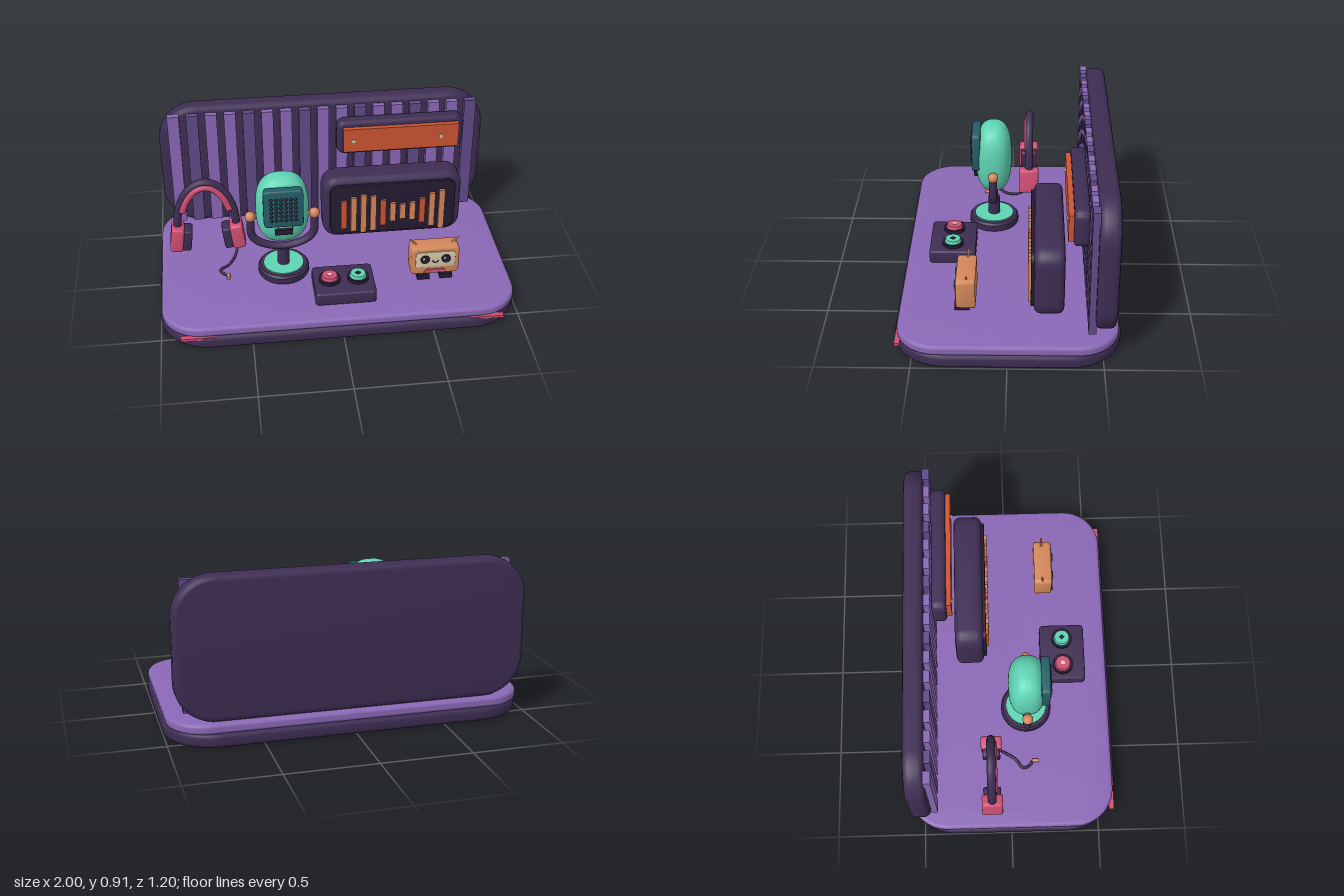
import * as THREE from 'three';
import { toCreasedNormals } from 'three/addons/utils/BufferGeometryUtils.js';

const mat = (name, color) => {
  const m = new THREE.MeshStandardMaterial({ color });
  m.name = name;
  return m;
};

export function createModel() {
  const M = {
    plum: mat('dark plum', 0x3e2d53),
    purple: mat('light purple', 0x8a68b6),
    violet: mat('mid violet', 0x604b88),
    mint: mat('mint', 0x5fd3b3),
    teal: mat('deep teal', 0x245e68),
    orange: mat('soft orange', 0xd4875a),
    rust: mat('red orange', 0xcc5533),
    pink: mat('pink', 0xd14f74),
    black: mat('near black', 0x241b32),
    cream: mat('cream', 0xd9cba8),
  };
  const model = new THREE.Group();
  model.name = 'podcastDesk';
  const group = (name) => {
    const g = new THREE.Group();
    g.name = name;
    model.add(g);
    return g;
  };
  const add = (parent, name, geo, material, x = 0, y = 0, z = 0) => {
    const m = new THREE.Mesh(geo, material);
    m.name = name;
    m.position.set(x, y, z);
    parent.add(m);
    return m;
  };
  const box = (w, h, d) => new THREE.BoxGeometry(w, h, d);
  const disc = (r, h, top = r) => new THREE.CylinderGeometry(top, r, h, 32);
  const tube = (pts, r, n = 40) => new THREE.TubeGeometry(
    new THREE.CatmullRomCurve3(pts.map((p) => new THREE.Vector3(...p))), n, r, 10);

  // Rounded rectangle w x h extruded to depth d, with soft edges, centred
  const slab = (w, h, d, r, b) => {
    const x = w / 2 - b, y = h / 2 - b, q = Math.max(r - b, 0.002);
    const s = new THREE.Shape();
    s.moveTo(-x + q, -y);
    s.absarc(x - q, -y + q, q, -Math.PI / 2, 0);
    s.absarc(x - q, y - q, q, 0, Math.PI / 2);
    s.absarc(-x + q, y - q, q, Math.PI / 2, Math.PI);
    s.absarc(-x + q, -y + q, q, Math.PI, Math.PI * 1.5);
    const g = new THREE.ExtrudeGeometry(s, {
      depth: d - 2 * b, bevelThickness: b, bevelSize: b, bevelSegments: 3, curveSegments: 8,
    });
    g.translate(0, 0, -(d - 2 * b) / 2);
    return toCreasedNormals(g, 0.6);
  };
  const flat = (w, d, h, r, b) => slab(w, d, h, r, b).rotateX(-Math.PI / 2);

  // Desk
  const desk = group('desk');
  add(desk, 'deskBase', flat(2, 1.2, 0.075, 0.28, 0.02), M.plum, 0, 0.0375, 0);
  add(desk, 'deskTop', flat(1.98, 1.17, 0.055, 0.22, 0.018), M.purple, 0, 0.098, 0);
  for (const s of [-1, 1]) add(desk, 'deskAccent', box(0.195, 0.016, 0.03), M.pink, s * 0.795, 0.066, 0.577);

  // Back wall with upright slats
  const wall = group('backWall');
  add(wall, 'wallPanel', slab(1.92, 0.785, 0.11, 0.22, 0.03), M.plum, 0, 0.5175, -0.507);
  for (let i = 0; i < 17; i++) {
    add(wall, 'slat', box(0.068, 0.72, 0.04), i % 3 === 1 ? M.violet : M.purple, -0.87 + i * 0.10875, 0.515, -0.438);
  }

  // Sign
  const sign = group('sign');
  add(sign, 'signFrame', slab(0.745, 0.215, 0.08, 0.05, 0.02), M.plum, 0.4425, 0.7175, -0.373);
  add(sign, 'signPlate', box(0.68, 0.15, 0.03), M.rust, 0.445, 0.715, -0.32);
  for (const s of [-1, 1]) add(sign, 'signScrew', disc(0.011, 0.008).rotateX(Math.PI / 2), M.cream, 0.422 + s * 0.258, 0.715, -0.302);

  // Level display with a row of bars
  const display = group('levelDisplay');
  add(display, 'displayBody', slab(0.82, 0.405, 0.16, 0.09, 0.035), M.plum, 0.375, 0.3575, -0.217);
  add(display, 'displayScreen', slab(0.74, 0.33, 0.02, 0.05, 0.003), M.black, 0.375, 0.3575, -0.13);
  [0.19, 0.235, 0.26, 0.24, 0.175, 0.125, 0.1, 0.12, 0.17, 0.23, 0.265].forEach((h, i) =>
    add(display, 'levelBar', box(0.034, h, 0.015), i % 4 ? M.orange : M.rust, 0.085 + i * 0.058, 0.33, -0.113));

  // Headphones
  const phones = group('headphones');
  const arch = (rx, ry, y0, z, a) => Array.from({ length: 17 }, (_, i) => {
    const t = a + (Math.PI - 2 * a) * i / 16;
    return [-0.715 + rx * Math.cos(t), y0 + ry * Math.sin(t), z];
  });
  add(phones, 'headband', tube(arch(0.17, 0.3, 0.32, -0.108, 0), 0.024), M.plum);
  add(phones, 'headbandCushion', tube(arch(0.15, 0.275, 0.32, -0.097, 0.45), 0.022), M.pink);
  for (const s of [-1, 1]) {
    const cup = new THREE.Group();
    cup.name = 'earCup';
    cup.position.set(-0.715 + s * 0.17, 0.264, -0.107);
    cup.rotation.z = s * 0.13;
    phones.add(cup);
    add(cup, 'earShell', slab(0.075, 0.155, 0.118, 0.018, 0.012), M.pink, s * 0.005);
    add(cup, 'earPad', slab(0.06, 0.135, 0.1, 0.015, 0.01), M.plum, -s * 0.05, -0.003);
  }
  add(phones, 'cable', tube([[-0.545, 0.2, -0.09], [-0.555, 0.16, -0.05], [-0.6, 0.137, 0.03],
    [-0.652, 0.135, 0.075], [-0.635, 0.135, 0.115], [-0.612, 0.137, 0.13]], 0.008), M.plum);
  add(phones, 'plug', disc(0.01, 0.04).rotateX(Math.PI / 2), M.orange, -0.61, 0.138, 0.145);

  // Microphone
  const mic = group('microphone');
  mic.position.set(-0.29, 0, 0.1);
  add(mic, 'micFoot', toCreasedNormals(new THREE.LatheGeometry(
    [[0, 0.125], [0.14, 0.125], [0.145, 0.135], [0.145, 0.165], [0.135, 0.178], [0, 0.178]]
      .map((p) => new THREE.Vector2(...p)), 40), 0.5), M.plum);
  add(mic, 'footInlay', disc(0.115, 0.008), M.mint, 0, 0.18, 0);
  add(mic, 'stem', disc(0.034, 0.11), M.plum, 0, 0.235, 0);
  const yoke = [[-0.18, 0.51, 0], [-0.18, 0.46, 0]];
  for (let i = 0; i <= 12; i++) {
    const t = Math.PI * (1 + i / 12);
    yoke.push([0.18 * Math.cos(t), 0.41 + 0.112 * Math.sin(t), 0]);
  }
  yoke.push([0.18, 0.46, 0], [0.18, 0.51, 0]);
  add(mic, 'yoke', tube(yoke, 0.023, 60), M.plum);
  for (const s of [-1, 1]) {
    add(mic, 'pivotKnob', new THREE.SphereGeometry(0.03, 20, 14), M.orange, s * 0.18, 0.51, 0);
    add(mic, 'pivotPin', disc(0.014, 0.06).rotateZ(Math.PI / 2), M.orange, s * 0.15, 0.51, 0);
  }
  // Head: a sphere squared off into a soft capsule
  const head = new THREE.SphereGeometry(1, 48, 32), p = head.attributes.position, n = 2.6;
  for (let i = 0; i < p.count; i++) {
    const v = new THREE.Vector3().fromBufferAttribute(p, i);
    const k = (Math.abs(v.x) ** n + Math.abs(v.y) ** n + Math.abs(v.z) ** n) ** (-1 / n);
    p.setXYZ(i, v.x * k * 0.148, v.y * k * 0.213, v.z * k * 0.105);
  }
  add(mic, 'micHead', toCreasedNormals(head, 1), M.mint, 0, 0.567, 0);
  add(mic, 'grille', slab(0.22, 0.235, 0.05, 0.025, 0.008), M.teal, 0, 0.627, 0.1);
  for (let i = 0; i < 36; i++) {
    add(mic, 'grilleHole', new THREE.SphereGeometry(0.0095, 10, 6), M.black,
      ((i % 6) - 2.5) * 0.027, 0.625 + (Math.floor(i / 6) - 2.5) * 0.027, 0.125);
  }
  add(mic, 'micSlot', box(0.1, 0.035, 0.03), M.black, 0, 0.469, 0.1);

  // Button pad
  const pad = group('buttonPad');
  add(pad, 'padBody', flat(0.34, 0.262, 0.078, 0.022, 0.01), M.plum, 0.03, 0.162, 0.325);
  for (const [x, m] of [[-0.05, M.pink], [0.11, M.mint]]) {
    add(pad, 'buttonRing', disc(0.06, 0.02), M.black, x, 0.21, 0.325);
    add(pad, 'button', disc(0.048, 0.02, 0.042), m, x, 0.228, 0.325);
  }
  add(pad, 'squareMark', box(0.022, 0.004, 0.022), M.cream, -0.05, 0.239, 0.325);
  add(pad, 'diamondMark', box(0.024, 0.004, 0.024), M.black, 0.11, 0.239, 0.325).rotation.y = Math.PI / 4;

  // Little robot
  const bot = group('robot');
  bot.position.set(0.558, 0, 0.225);
  add(bot, 'robotBody', slab(0.276, 0.175, 0.104, 0.022, 0.01), M.orange, 0, 0.243, 0);
  add(bot, 'facePlate', slab(0.226, 0.105, 0.008, 0.02, 0.002), M.cream, 0, 0.257, 0.053);
  for (const s of [-1, 1]) {
    add(bot, 'eye', disc(0.027, 0.008).rotateX(Math.PI / 2), M.black, s * 0.06, 0.262, 0.059);
    add(bot, 'eyeGlint', disc(0.007, 0.004).rotateX(Math.PI / 2), M.cream, s * 0.06 - 0.008, 0.271, 0.064);
    add(bot, 'foot', box(0.07, 0.034, 0.08), M.black, s * 0.065, 0.141, 0.022);
    add(bot, 'antenna', new THREE.CylinderGeometry(0.005, 0.006, 0.05, 8), M.orange, s * 0.122, 0.346, -0.005).rotation.z = -s * 0.8;
  }
  add(bot, 'smile', new THREE.TorusGeometry(0.017, 0.0035, 6, 16, Math.PI).rotateZ(Math.PI), M.black, 0, 0.254, 0.058);
  const chin = new THREE.Shape([[-0.065, 0.17], [0.065, 0.17], [0.05, 0.189], [-0.05, 0.189]]
    .map((q) => new THREE.Vector2(...q)));
  add(bot, 'chinStripe', new THREE.ExtrudeGeometry(chin, { depth: 0.006, bevelEnabled: false }), M.pink, 0, 0, 0.051);

  return model;
}
